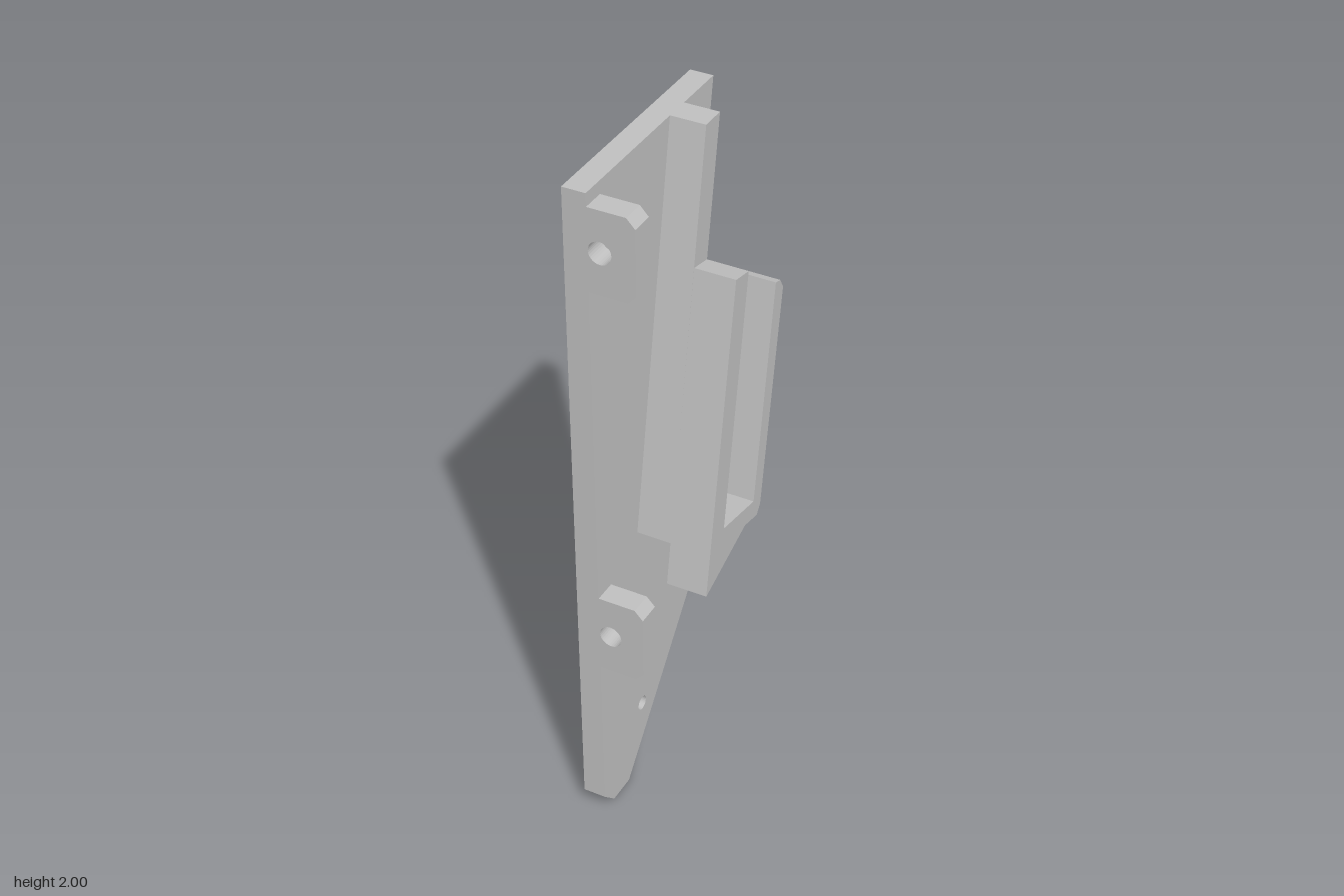
import * as THREE from 'three';

export function createModel() {
  const model = new THREE.Group();
  const grey = new THREE.MeshStandardMaterial({ color: 0xc0c0c0 });
  grey.name = 'grey plastic';

  const toPath = (points, target) =>
    target.setFromPoints(points.map(([a, b]) => new THREE.Vector2(a, b)));
  const circle = (a, b, r) => new THREE.Path().absarc(a, b, r, 0, Math.PI * 2, true);

  const addMesh = (name, geometry) => {
    const mesh = new THREE.Mesh(geometry, grey);
    mesh.name = name;
    model.add(mesh);
    return mesh;
  };

  // Side profile given as [z, y], extruded across x from x0 to x1
  const flip = (points) => points.map(([z, y]) => [-z, y]);
  const addProfile = (name, points, x0, x1, holes = []) => {
    const shape = toPath(flip(points), new THREE.Shape());
    shape.holes.push(...holes);
    const geometry = new THREE.ExtrudeGeometry(shape, {
      depth: x1 - x0, bevelEnabled: false, curveSegments: 16,
    });
    geometry.rotateY(Math.PI / 2).translate(x0, 0, 0);
    return addMesh(name, geometry);
  };

  const OUTER = -0.143, STEP = -0.127, INNER = -0.077, SPLIT = 0.023, EDGE = 0.141;

  // Side plate in two layers: the outer one carries the recess and counterbores
  const plate = [
    [0.455, 2], [0.455, 0.05], [0.405, 0], [0.32, 0], [-0.453, 0.925], [-0.453, 0.962],
    [-0.375, 1.025], [-0.105, 1.11], [-0.165, 1.45], [-0.148, 1.48], [-0.1, 1.49], [-0.19, 2],
  ];
  const screwHoles = (r) => [[-0.253, 0.805], [0.235, 0.225]].map(([z, y]) => circle(-z, y, r));
  const recess = toPath(flip([[0.36, 1.85], [0.06, 1.85], [0.215, 0.98], [0.36, 0.98]]), new THREE.Path());
  addProfile('plateOuterLayer', plate, OUTER, STEP, [recess, ...screwHoles(0.036)]);
  addProfile('plateInnerLayer', plate, STEP, INNER, screwHoles(0.021));

  // Slanted channel: floor and rear wall are shared by both sections
  const floorAndRearWall = [
    [-0.03, 0.79], [-0.05, 0.815], [-0.165, 1.45], [-0.148, 1.48],
    [-0.122, 1.487], [-0.01, 0.85], [0.165, 0.88],
  ];
  addProfile('channelWithTallRib',
    [[0.04, 2], [0.243, 0.842], ...floorAndRearWall, [-0.033, 2]], INNER, SPLIT);
  addProfile('channelWithLowerLip',
    [[0.105, 1.625], [0.265, 0.72], [0.04, 0.803], ...floorAndRearWall, [0.036, 1.612]], SPLIT, EDGE);

  // Two screw tabs on the front edge, with chamfered outer corners
  const tab = toPath([
    [INNER, 0], [0.03, 0], [0.054, 0.026], [0.054, 0.212], [0.03, 0.238], [INNER, 0.238],
  ], new THREE.Shape());
  tab.holes.push(circle(-0.044, 0.119, 0.032));
  const tabGeometry = new THREE.ExtrudeGeometry(tab, {
    depth: 0.066, bevelEnabled: false, curveSegments: 16,
  });
  [['lowerScrewTab', 0.532], ['upperScrewTab', 1.725]].forEach(([name, y]) => {
    addMesh(name, tabGeometry).position.set(0, y, 0.389);
  });

  return model;
}
